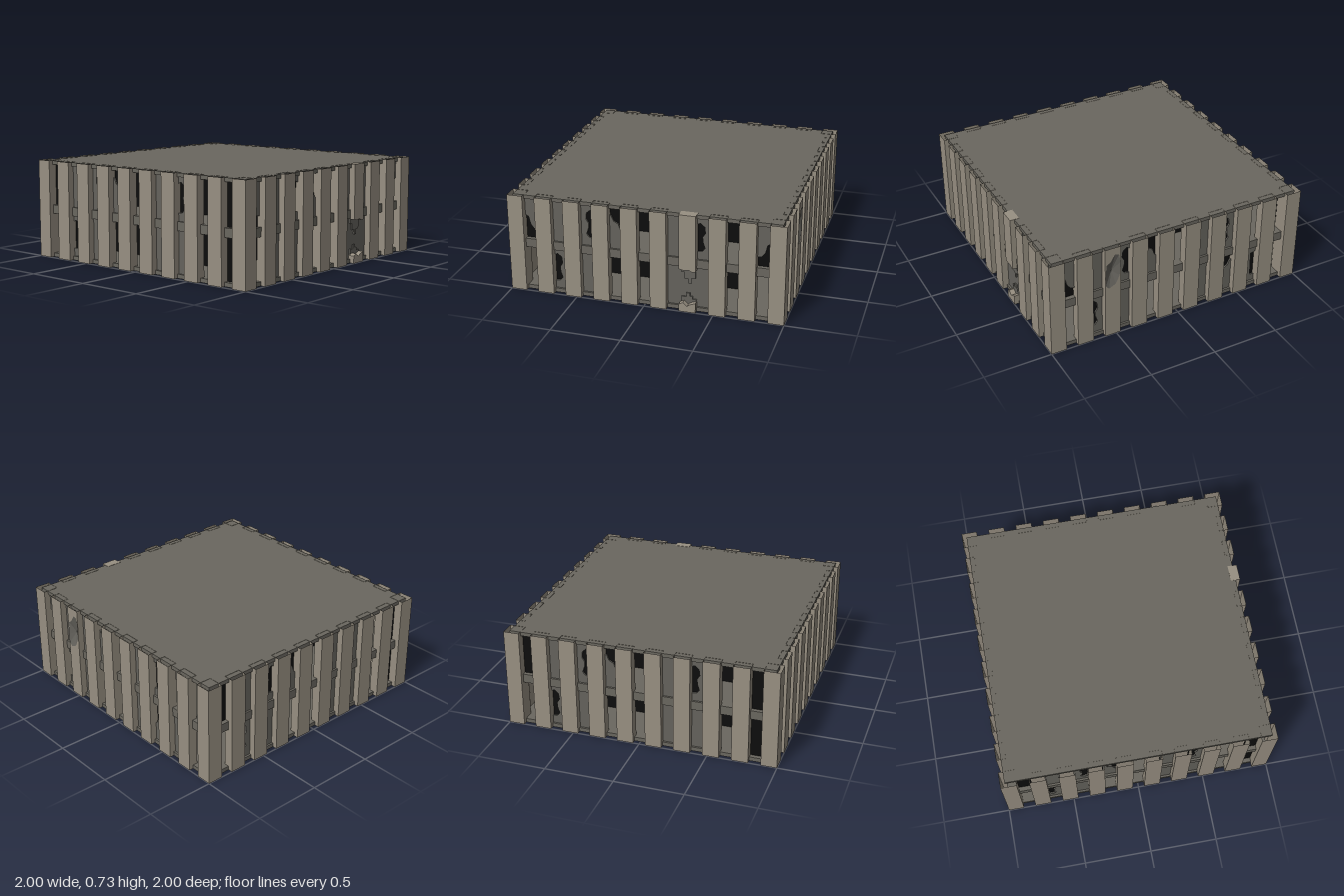
import * as THREE from 'three';

const mat = (name, color, side = THREE.FrontSide) => {
  const m = new THREE.MeshStandardMaterial({ color, side });
  m.name = name;
  return m;
};

export function createModel() {
  const pillarMat = mat('pale concrete', 0x989082, THREE.DoubleSide);
  const slabMat = mat('grey concrete', 0x6a675f);
  const panelMat = mat('wall panel grey', 0x65635d, THREE.DoubleSide);
  const darkMat = mat('dark interior', 0x0d0d0d, THREE.DoubleSide);
  const root = new THREE.Group();
  root.name = 'ruinedBuilding';

  const add = (parent, name, geo, material, x = 0, y = 0, z = 0) => {
    const m = new THREE.Mesh(geo, material);
    m.name = name;
    m.position.set(x, y, z);
    parent.add(m);
    return m;
  };
  const shapeOf = pts => new THREE.Shape(pts.map(p => new THREE.Vector2(p[0], p[1])));
  const extrude = (pts, depth) => new THREE.ExtrudeGeometry(shapeOf(pts), { depth, bevelEnabled: false });
  // Box without top and bottom
  const sleeve = (w, h, d) => {
    const g = new THREE.BoxGeometry(w, h, d);
    const idx = Array.from(g.index.array);
    idx.splice(12, 12);
    g.setIndex(idx);
    g.clearGroups();
    return g;
  };

  // Floors, roof and dark core
  const H = 0.73, EDGE = 0.967;
  for (const [name, y0, y1] of [['groundSlab', 0, 0.03], ['middleSlab', 0.33, 0.395], ['roofSlab', 0.7, 0.728]])
    add(root, name, new THREE.BoxGeometry(EDGE * 2, y1 - y0, EDGE * 2), slabMat, 0, (y0 + y1) / 2, 0);
  add(root, 'core', new THREE.BoxGeometry(1.24, 0.68, 1.24), darkMat, 0, 0.365, 0);

  // Outlines of whole and broken wall panels in a unit cell
  const outlines = {
    S: [[0, 0], [1, 0], [1, 1], [0, 1]],
    R: [[0, 0], [1, 0], [1, 0.18], [0.6, 0.2], [0.42, 0.28], [0.55, 0.42], [0.58, 0.55], [0.4, 0.65], [0.45, 0.8], [0.7, 0.88], [1, 0.84], [1, 1], [0, 1]],
    B: [[0, 0.6], [0.3, 0.54], [0.42, 0.36], [0.65, 0.25], [1, 0.23], [1, 1], [0, 1]],
    T: [[0, 0], [1, 0], [1, 0.42], [0.8, 0.46], [0.65, 0.62], [0.35, 0.68], [0.2, 0.8], [0, 0.84]],
    H: [[0, 0], [0.55, 0], [0.55, 0.16], [1, 0.16], [1, 0.1], [1, 0], [1, 0], [1, 0.14], [0.55, 0.18], [0.55, 0.8], [1, 0.82], [1, 1], [0, 1]]
  };
  outlines.H = [[0, 0], [1, 0], [1, 0.15], [0.6, 0.18], [0.55, 0.8], [1, 0.84], [1, 1], [0, 1]];
  const flip = pts => pts.map(([u, v]) => [1 - u, v]).reverse();
  outlines.L = flip(outlines.R);
  outlines.b = flip(outlines.B);
  outlines.t = flip(outlines.T);

  // Upper and lower rows per side: O open, G dark glass, others as above
  const sides = [
    ['frontWall', 'BSRTOSLOb', 'OLSOOSSOO'],
    ['leftWall', 'BSRTOSLOO', 'OLSOOStHO'],
    ['backWall', 'GSRTOSLOG', 'OLSOOSSOG'],
    ['rightWall', 'GSRTOSLOG', 'OLSOOSSOG']
  ];
  const PITCH = 0.21, GAP = 0.09, CELL = 0.305;
  const cx = i => -0.945 + PITCH * i;

  sides.forEach(([name, upper, lower], k) => {
    const wall = new THREE.Group();
    wall.name = name;
    wall.rotation.y = k * Math.PI / 2;
    root.add(wall);

    // Panels between the pillars
    [[upper, 0.395], [lower, 0.03]].forEach(([row, y0]) => {
      [...row].forEach((code, i) => {
        if (code === 'O') return;
        const w = GAP + 0.02, x0 = cx(i) + 0.05;
        add(wall, 'darkBacking', new THREE.PlaneGeometry(w, CELL), darkMat, x0 + w / 2, y0 + CELL / 2, 0.935);
        if (code === 'G') return;
        const pts = outlines[code].map(([u, v]) => [u * w, v * CELL]);
        add(wall, 'wallPanel', extrude(pts, 0.012), panelMat, x0, y0, 0.94);
      });
    });

    // Corner post and pillars
    add(wall, 'cornerPost', sleeve(0.115, H, 0.115), pillarMat, 0.9425, H / 2, 0.9425);
    for (let i = 1; i <= 8; i++) {
      if (k === 0 && i === 6) brokenPillar(wall, cx(i));
      else if (k === 1 && i === 2) dentedPillar(wall, cx(i));
      else add(wall, 'pillar', sleeve(0.12, H, 0.07), pillarMat, cx(i), H / 2, 0.965);
    }
  });

  // Pillar with its lower middle missing and ragged wall behind
  function brokenPillar(wall, x) {
    add(wall, 'brokenPillarTop', extrude([[-0.06, 0.325], [-0.02, 0.318], [0.01, 0.325], [0.035, 0.312], [0.06, 0.315], [0.06, H], [-0.06, H]], 0.07), pillarMat, x, 0, 0.93);
    add(wall, 'brokenPillarStub', extrude([[-0.06, 0], [0.06, 0], [0.06, 0.075], [0.02, 0.06], [0, 0.045], [-0.03, 0.07], [-0.06, 0.055]], 0.07), pillarMat, x, 0, 0.93);
    add(wall, 'wallBehindPillar', new THREE.BoxGeometry(0.16, 0.3, 0.012), panelMat, x, 0.18, 0.946);
    add(wall, 'raggedUpperWall', extrude([[-0.055, 0.33], [-0.055, 0.29], [-0.03, 0.29], [-0.03, 0.24], [0, 0.24], [0, 0.205], [0.02, 0.205], [0.02, 0.245], [0.05, 0.245], [0.05, 0.33]], 0.012), panelMat, x, 0, 0.95);
    add(wall, 'raggedLowerWall', extrude([[-0.05, 0.03], [0.06, 0.03], [0.06, 0.085], [0.03, 0.085], [0.03, 0.105], [0.01, 0.105], [0.01, 0.13], [-0.015, 0.13], [-0.015, 0.1], [-0.05, 0.1]], 0.012), panelMat, x, 0, 0.95);
  }

  // Pillar with a shallow dent knocked out of its face
  function dentedPillar(wall, x) {
    const dent = [[-0.055, 0.43], [-0.03, 0.405], [0.02, 0.43], [0.05, 0.49], [0.057, 0.6], [0.045, 0.665], [0.015, 0.675], [-0.02, 0.62], [-0.05, 0.6], [-0.057, 0.5]];
    const face = shapeOf([[-0.06, 0], [0.06, 0], [0.06, H], [-0.06, H]]);
    face.holes.push(new THREE.Path(dent.map(p => new THREE.Vector2(p[0], p[1]))));
    add(wall, 'dentedPillarFace', new THREE.ShapeGeometry(face), pillarMat, x, 0, 1);
    for (const s of [-1, 1])
      add(wall, 'dentedPillarSide', new THREE.PlaneGeometry(0.07, H), pillarMat, x + s * 0.06, H / 2, 0.965).rotation.y = s * Math.PI / 2;
    const pos = [];
    dent.forEach((p, i) => {
      const q = dent[(i + 1) % dent.length];
      pos.push(p[0], p[1], 0, q[0], q[1], 0, 0, 0.53, -0.03);
    });
    const g = new THREE.BufferGeometry();
    g.setAttribute('position', new THREE.Float32BufferAttribute(pos, 3));
    g.computeVertexNormals();
    add(wall, 'dent', g, panelMat, x, 0, 1);
  }
  return root;
}
